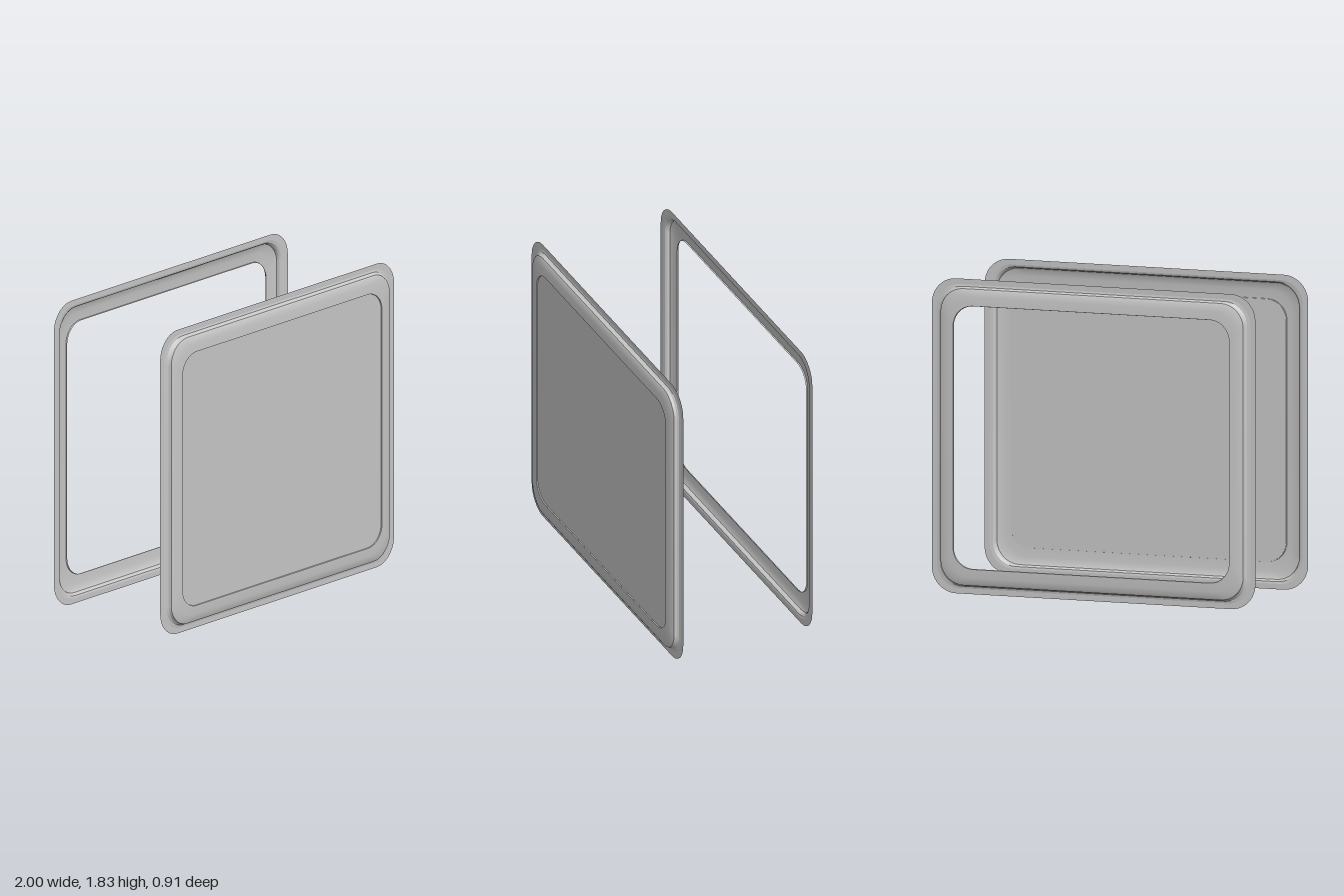
import * as THREE from 'three';
import { toCreasedNormals } from 'three/addons/utils/BufferGeometryUtils.js';

const CENTRE_Y = 0.915;
const grey = new THREE.MeshStandardMaterial({ name: 'lightGrey', color: 0xc8c8c8, side: THREE.DoubleSide });

// Points of a rounded rectangle, counter-clockwise, the same count for every size
function outline(hw, hh, r, steps = 10) {
  const points = [];
  [[1, 1], [-1, 1], [-1, -1], [1, -1]].forEach(([sx, sy], corner) => {
    for (let i = 0; i <= steps; i++) {
      const a = (corner + i / steps) * Math.PI / 2;
      points.push(new THREE.Vector2(sx * (hw - r) + r * Math.cos(a), sy * (hh - r) + r * Math.sin(a)));
    }
  });
  return points;
}

// Skin a sheet through rounded-rectangle loops given as [x inset, y inset, z, corner radius]
function loopSheet(profile) {
  const positions = [], indices = [];
  profile.forEach(([dx, dy, z, r]) => {
    outline(1 - dx, 0.915 - dy, r).forEach(p => positions.push(p.x, p.y, z));
  });
  const n = positions.length / 3 / profile.length;
  for (let k = 0; k < profile.length - 1; k++) {
    for (let i = 0; i < n; i++) {
      const a = k * n + i, b = k * n + (i + 1) % n;
      indices.push(a, b, b + n, a, b + n, a + n);
    }
  }
  const geometry = new THREE.BufferGeometry();
  geometry.setAttribute('position', new THREE.Float32BufferAttribute(positions, 3));
  geometry.setIndex(indices);
  return toCreasedNormals(geometry, 0.4);
}

function addMesh(parent, name, geometry) {
  const mesh = new THREE.Mesh(geometry, grey);
  mesh.name = name;
  parent.add(mesh);
}

// Flat flange, hollow raised wall, nearly flat face border and a small lip at the opening
function frame(name) {
  const group = new THREE.Group();
  group.name = name;
  addMesh(group, 'flange', loopSheet([[0, 0, 0.412, 0.15], [0.032, 0.032, 0.412, 0.14]]));
  addMesh(group, 'wall', loopSheet([
    [0.032, 0.032, 0.412, 0.14],
    [0.05, 0.044, 0.415, 0.14],
    [0.06, 0.05, 0.424, 0.14],
    [0.065, 0.053, 0.439, 0.14],
  ]));
  addMesh(group, 'faceBorder', loopSheet([
    [0.065, 0.053, 0.439, 0.14],
    [0.085, 0.065, 0.446, 0.14],
    [0.115, 0.1, 0.451, 0.135],
    [0.147, 0.15, 0.453, 0.12],
  ]));
  addMesh(group, 'openingLip', loopSheet([[0.147, 0.15, 0.453, 0.12], [0.149, 0.152, 0.445, 0.12]]));
  group.position.y = CENTRE_Y;
  return group;
}

export function createModel() {
  const model = new THREE.Group();
  model.name = 'pairedPanels';

  // Closed front cover
  const front = frame('frontCover');
  const panel = new THREE.ShapeGeometry(new THREE.Shape(outline(0.853, 0.765, 0.12)));
  panel.translate(0, 0, 0.447);
  addMesh(front, 'centrePanel', panel);
  model.add(front);

  // Open back frame, facing away
  const back = frame('backFrame');
  back.rotation.y = Math.PI;
  model.add(back);

  return model;
}
